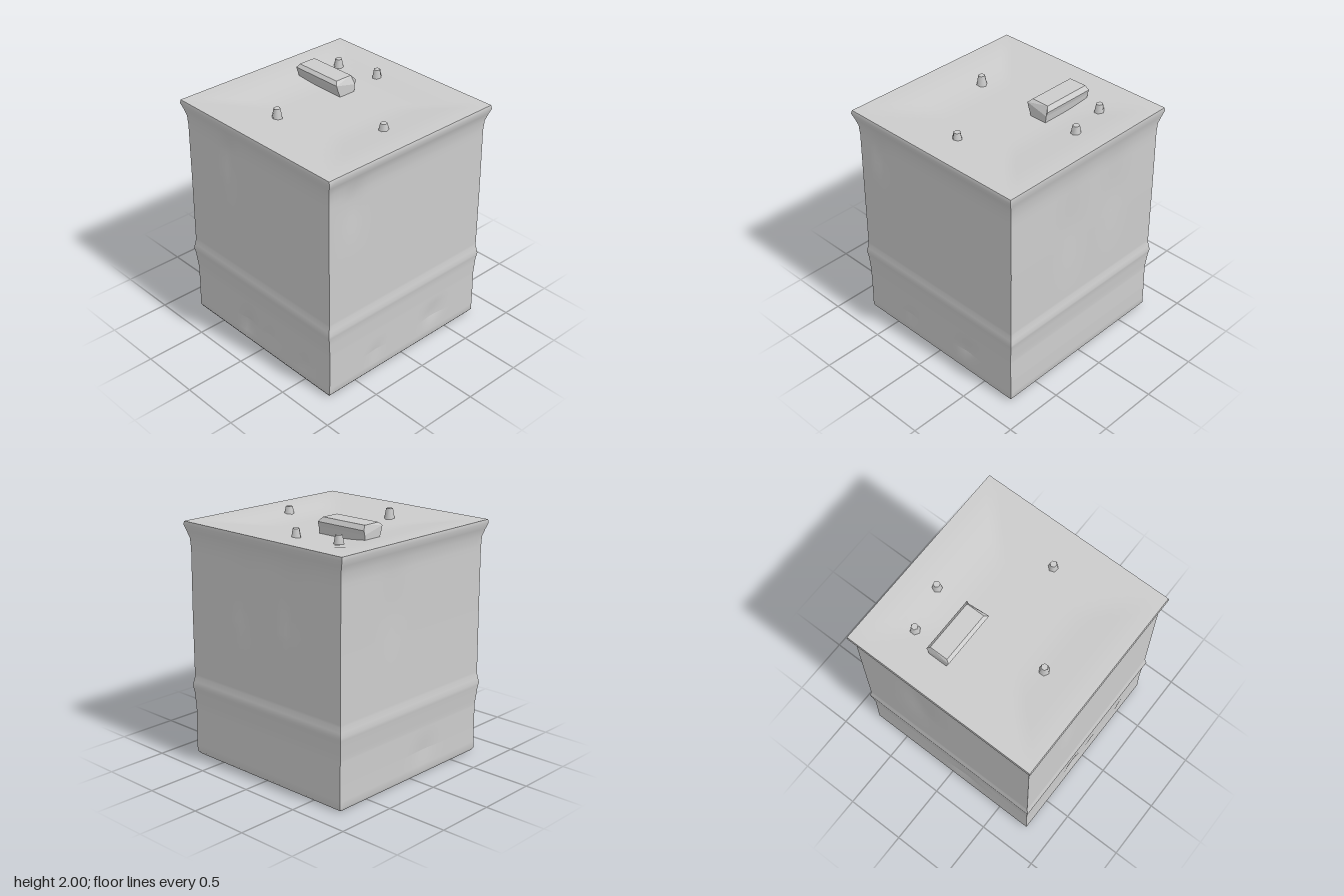
import * as THREE from 'three';

const concrete = new THREE.MeshStandardMaterial({ color: 0xcccccc });
concrete.name = 'pale grey';

// Wall profile: height, then left, right, back and front extents
const profile = [
  [0, -0.77, 0.77, -0.78, 0.77], [0.025, -0.785, 0.79, -0.80, 0.785],
  [0.2, -0.782, 0.79, -0.80, 0.78], [0.4, -0.782, 0.79, -0.795, 0.78],
  [0.53, -0.795, 0.795, -0.805, 0.79], [0.585, -0.802, 0.803, -0.815, 0.80],
  [0.66, -0.79, 0.79, -0.80, 0.785], [1.2, -0.787, 0.788, -0.80, 0.782],
  [1.7, -0.787, 0.785, -0.795, 0.78], [1.78, -0.79, 0.79, -0.80, 0.785],
  [1.84, -0.81, 0.81, -0.815, 0.80], [1.885, -0.826, 0.828, -0.828, 0.815],
  [1.912, -0.822, 0.82, -0.825, 0.81],
];

// Dents per wall: position along the wall, height, half-width, half-height, depth
const dents = {
  frontWall: [[0.31, 1.6, 0.05, 0.3, 0.02], [0.4, 0.16, 0.05, 0.1, 0.02], [0.56, 0.17, 0.03, 0.06, 0.01], [0.82, 0.14, 0.03, 0.06, 0.012]],
  leftWall: [[0.7, 0.23, 0.06, 0.06, 0.018], [0.14, 1.6, 0.06, 0.2, 0.015], [0.3, 0.18, 0.04, 0.05, 0.01]],
  backWall: [[0.4, 1.3, 0.08, 0.3, 0.012], [0.7, 1.4, 0.08, 0.3, 0.012]],
  rightWall: [[0.35, 1.4, 0.08, 0.3, 0.01], [0.6, 0.2, 0.08, 0.08, 0.01]],
};

function sample(y) {
  let k = 0;
  while (k < profile.length - 2 && profile[k + 1][0] < y) k++;
  const a = profile[k], b = profile[k + 1], t = (y - a[0]) / (b[0] - a[0]);
  return a.map((v, i) => v + (b[i] - v) * t);
}

// Grid surface from a function of u and v; each one keeps its own smooth normals
function surface(nu, vs, point) {
  const pos = [], index = [];
  vs.forEach((v, j) => {
    for (let i = 0; i <= nu; i++) {
      pos.push(...point(i / nu, v));
      if (i < nu && j < vs.length - 1) {
        const a = j * (nu + 1) + i, c = a + nu + 1;
        index.push(a, a + 1, c + 1, a, c + 1, c);
      }
    }
  });
  const geo = new THREE.BufferGeometry();
  geo.setAttribute('position', new THREE.Float32BufferAttribute(pos, 3));
  geo.setIndex(index);
  geo.computeVertexNormals();
  return geo;
}

export function createModel() {
  const model = new THREE.Group();
  model.name = 'flatRoofedBlock';
  const add = (name, geo) => {
    const mesh = new THREE.Mesh(geo, concrete);
    mesh.name = name;
    model.add(mesh);
    return mesh;
  };

  // Walls with a low ledge, a flared cornice and shallow dents
  const heights = profile.map((p) => p[0]);
  for (let y = 0.08; y < 1.7; y += 0.06) heights.push(y);
  heights.sort((a, b) => a - b);
  const walls = { frontWall: [0, 1], leftWall: [1, 0], backWall: [0, -1], rightWall: [-1, 0] };
  for (const [name, [nx, nz]] of Object.entries(walls)) {
    add(name, surface(32, heights, (u, y) => {
      const [, x0, x1, z0, z1] = sample(y);
      let d = 0;
      for (const [du, dy, w, h, depth] of dents[name]) {
        d += depth * Math.exp(-(((u - du) / w) ** 2) - ((y - dy) / h) ** 2);
      }
      d *= Math.min(1, 8 * u * (1 - u)) * Math.min(1, y * 10, Math.max(0, (1.8 - y) * 10));
      const t = nx + nz > 0 ? u : 1 - u;
      return nz
        ? [x0 + (x1 - x0) * t, y, (nz > 0 ? z1 : z0) - nz * d]
        : [(nx > 0 ? x1 : x0) - nx * d, y, z1 + (z0 - z1) * t];
    }));
  }

  // Roof, gently dished inside its rim
  const [, x0, x1, z0, z1] = profile[profile.length - 1];
  const steps = Array.from({ length: 25 }, (_, i) => i / 24);
  const roofY = (u, v) => {
    const edge = Math.min(u, 1 - u, v, 1 - v);
    return 1.912 - 0.04 * THREE.MathUtils.smoothstep(edge, 0.02, 0.32);
  };
  add('roof', surface(24, steps, (u, v) => [x0 + (x1 - x0) * u, roofY(u, v), z1 + (z0 - z1) * v]));

  // Underside
  const [, bx0, bx1, bz0, bz1] = profile[0];
  add('underside', surface(1, [0, 1], (u, v) => [bx0 + (bx1 - bx0) * u, 0, bz0 + (bz1 - bz0) * v]));

  // Rooftop housing, narrower at the foot, with bevelled top edges
  const side = new THREE.Shape([
    [0.15, 1.86], [0.29, 1.86], [0.30, 1.93], [0.31, 1.965], [0.285, 2.0],
    [0.135, 2.0], [0.11, 1.975], [0.12, 1.94],
  ].map(([z, y]) => new THREE.Vector2(z, y)));
  const housing = new THREE.ExtrudeGeometry(side, { depth: 0.46, bevelEnabled: false });
  housing.rotateY(Math.PI / 2);
  housing.translate(-0.555, 0, 0);
  // Lean the ends slightly inward at the top
  const p = housing.attributes.position;
  for (let i = 0; i < p.count; i++) {
    if (p.getY(i) > 1.99) p.setX(i, p.getX(i) + (p.getX(i) > -0.3 ? -0.03 : 0.015));
  }
  housing.computeVertexNormals();
  add('rooftopHousing', housing);

  // Small roof vents
  const vents = [[-0.475, -0.485, 1.955], [-0.125, -0.565, 1.96], [0.52, 0, 1.945], [-0.155, 0.43, 1.96]];
  vents.forEach(([x, z, top], i) => {
    const h = top - 1.85;
    const vent = add('roofVent' + (i + 1), new THREE.CylinderGeometry(0.027, 0.047, h, 6));
    vent.position.set(x, top - h / 2, z);
    vent.rotation.y = i * 0.7;
  });

  return model;
}
